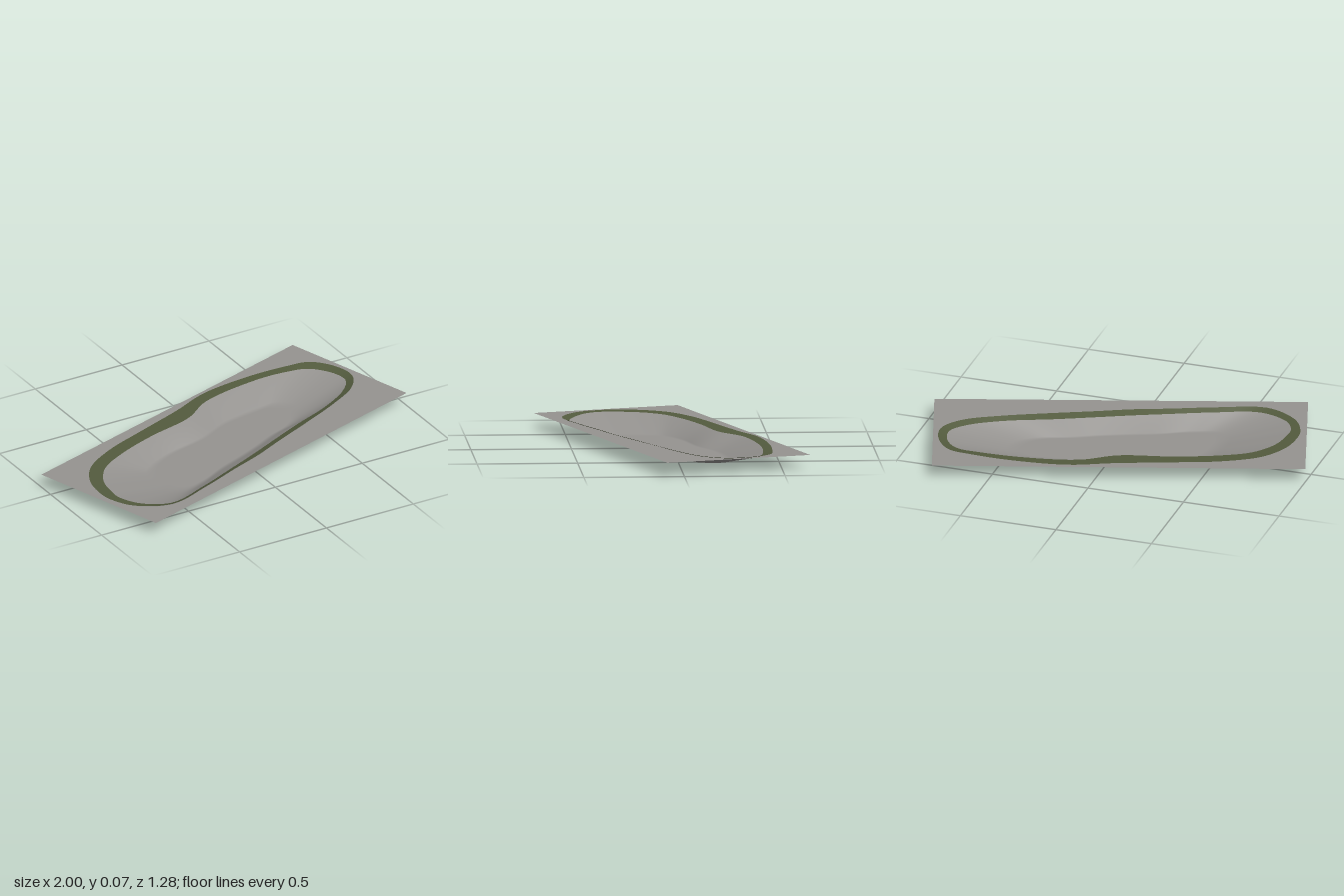
import * as THREE from 'three';

const TOP = 0.07; // height of the ground sheet
const STEPS = 132; // points around each outline

// Cross-sections around the pond: rim x, z, shelf x, z, floor x, z
const SECTIONS = [
  [-0.85, 0.22, -0.79, 0.24, -0.50, 0.18], [-0.83, 0.10, -0.77, 0.13, -0.49, 0.10],
  [-0.75, -0.03, -0.69, 0.01, -0.47, 0.03], [-0.58, -0.14, -0.54, -0.08, -0.41, -0.02],
  [-0.35, -0.23, -0.32, -0.165, -0.28, -0.08], [-0.08, -0.33, -0.07, -0.235, -0.05, -0.14],
  [0.13, -0.42, 0.10, -0.345, 0.14, -0.23], [0.40, -0.46, 0.40, -0.41, 0.35, -0.27],
  [0.62, -0.46, 0.60, -0.415, 0.45, -0.28], [0.75, -0.44, 0.72, -0.395, 0.50, -0.25],
  [0.84, -0.33, 0.80, -0.31, 0.53, -0.21], [0.86, -0.21, 0.82, -0.21, 0.53, -0.15],
  [0.79, -0.10, 0.755, -0.12, 0.50, -0.09], [0.63, 0.00, 0.60, -0.02, 0.42, -0.03],
  [0.40, 0.11, 0.375, 0.075, 0.29, 0.02], [0.20, 0.20, 0.18, 0.165, 0.15, 0.09],
  [0.03, 0.28, 0.02, 0.24, 0.01, 0.15], [-0.14, 0.345, -0.14, 0.31, -0.14, 0.21],
  [-0.36, 0.435, -0.35, 0.40, -0.30, 0.29], [-0.60, 0.51, -0.58, 0.475, -0.42, 0.32],
  [-0.77, 0.43, -0.735, 0.405, -0.48, 0.29], [-0.84, 0.31, -0.79, 0.31, -0.50, 0.24],
];

// Smooth closed outline through two columns of the sections
function outline(col, y) {
  const pts = SECTIONS.map((s) => new THREE.Vector3(s[col], y, s[col + 1]));
  const curve = new THREE.CatmullRomCurve3(pts, true);
  return Array.from({ length: STEPS }, (_, i) => curve.getPoint(i / STEPS));
}

// Upward-facing surface through matching loops, optionally closed by a floor
function loft(rings, center) {
  const pts = rings.flat();
  const index = [];
  const last = (rings.length - 1) * STEPS;
  for (let i = 0; i < STEPS; i++) {
    const j = (i + 1) % STEPS;
    for (let a = 0; a < last; a += STEPS) {
      const b = a + STEPS;
      index.push(a + i, b + i, a + j, a + j, b + i, b + j);
    }
    if (center) index.push(pts.length, last + j, last + i);
  }
  if (center) pts.push(center);
  const geo = new THREE.BufferGeometry().setFromPoints(pts);
  geo.setIndex(index);
  geo.computeVertexNormals();
  return geo;
}

export function createModel() {
  const group = new THREE.Group();
  const stone = new THREE.MeshStandardMaterial({ color: 0x959390, side: THREE.DoubleSide });
  stone.name = 'grey stone';
  const moss = new THREE.MeshStandardMaterial({ color: 0x535b3e, side: THREE.DoubleSide });
  moss.name = 'moss green';
  const add = (name, geo, mat) => {
    const mesh = new THREE.Mesh(geo, mat);
    mesh.name = name;
    group.add(mesh);
  };

  const rim = outline(0, TOP);
  const floor = outline(4, 0);
  const innerFloor = floor.map((p) => p.clone().multiplyScalar(0.85));

  // The shelf is almost level at the back and left, and dips at the front and right
  const shelf = outline(2, TOP);
  for (const p of shelf) p.y -= 0.002 + 0.012 * THREE.MathUtils.smoothstep(p.z + 0.6 * p.x, -0.15, 0.15);

  // Flat, slanted rectangle of ground with the pond cut out
  const sheet = new THREE.Shape(
    [[-1, -0.09], [-0.77, 0.64], [1, 0.085], [0.77, -0.64]].map(([x, z]) => new THREE.Vector2(x, -z)),
  );
  sheet.holes.push(new THREE.Path(rim.map((p) => new THREE.Vector2(p.x, -p.z))));
  add('groundSheet', new THREE.ShapeGeometry(sheet).rotateX(-Math.PI / 2).translate(0, TOP, 0), stone);

  // Waisted basin: shelf, sloping walls and level floor
  add('basin', loft([rim, shelf, floor, innerFloor], new THREE.Vector3(0, 0, 0)), stone);

  // Green band lying on the shelf
  add('shoreBand', loft([rim, shelf]).translate(0, 0.002, 0), moss);

  return group;
}
